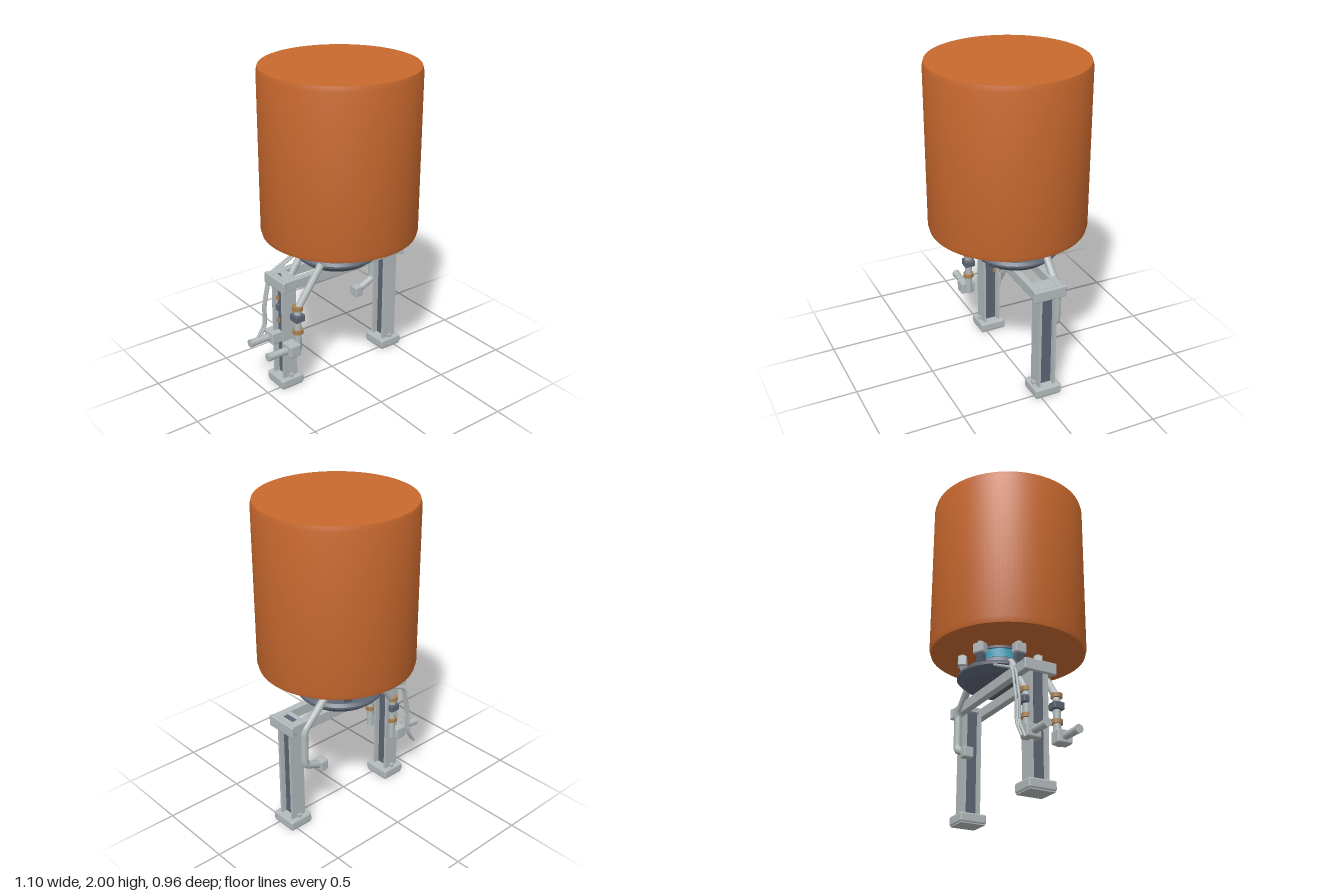
import * as THREE from 'three';
import { toCreasedNormals } from 'three/addons/utils/BufferGeometryUtils.js';
import { RoundedBoxGeometry } from 'three/addons/geometries/RoundedBoxGeometry.js';

function material(name, color) {
  const m = new THREE.MeshStandardMaterial({ color });
  m.name = name;
  return m;
}

export function createModel() {
  const model = new THREE.Group();
  model.name = 'tankOnStand';

  const orange = material('orange tank', 0xc8682e);
  const steel = material('light steel', 0xb4bbbd);
  const slate = material('dark slate', 0x5d6473);
  const teal = material('teal neck', 0x35a0ba);
  const bronze = material('bronze', 0xa98150);

  const add = (name, geometry, mat, x = 0, y = 0, z = 0, parent = model) => {
    const mesh = new THREE.Mesh(geometry, mat);
    mesh.name = name;
    mesh.position.set(x, y, z);
    parent.add(mesh);
    return mesh;
  };
  const box = (w, h, d) => new THREE.BoxGeometry(w, h, d);
  const bevelBox = (w, h, d, r) => new RoundedBoxGeometry(w, h, d, 1, r);
  const lathe = (points, sides) => toCreasedNormals(
    new THREE.LatheGeometry(points.map(([r, y]) => new THREE.Vector2(r, y)), sides), 0.35);

  // Pipe that follows straight runs with slightly rounded bends
  const pipe = (name, points, radius, mat, parent = model) => {
    const p = points.map(a => new THREE.Vector3(...a));
    const path = new THREE.CurvePath();
    let start = p[0];
    for (let i = 1; i < p.length - 1; i++) {
      const before = p[i].clone().add(p[i - 1].clone().sub(p[i]).setLength(0.03));
      const after = p[i].clone().add(p[i + 1].clone().sub(p[i]).setLength(0.03));
      path.add(new THREE.LineCurve3(start, before));
      path.add(new THREE.QuadraticBezierCurve3(before, p[i], after));
      start = after;
    }
    path.add(new THREE.LineCurve3(start, p[p.length - 1]));
    add(name, new THREE.TubeGeometry(path, 48, radius, 12), mat, 0, 0, 0, parent);
    // Closed ends
    for (const [a, b] of [[p[0], p[1]], [p[p.length - 1], p[p.length - 2]]]) {
      const cap = add(name + 'Cap', new THREE.CircleGeometry(radius, 12), mat, a.x, a.y, a.z, parent);
      cap.lookAt(a.clone().multiplyScalar(2).sub(b));
    }
  };

  // Tank
  add('tank', lathe([[0, 0.97], [0.472, 0.97], [0.48, 1.0], [0.48, 1.97], [0.472, 2], [0, 2]], 96),
    orange, 0.055);

  // Neck and mounting flange under the tank
  const hubX = 0.07, hubZ = -0.045;
  add('neck', lathe([[0, 0.86], [0.125, 0.86], [0.125, 0.89], [0.145, 0.9], [0.145, 0.955], [0, 0.955]], 40),
    teal, hubX, 0, hubZ);
  add('neckCollar', new THREE.CylinderGeometry(0.155, 0.155, 0.018, 40), slate, hubX, 0.963, hubZ);
  add('flange', lathe([[0, 0.762], [0.215, 0.762], [0.235, 0.78], [0.25, 0.79], [0.262, 0.803],
    [0.262, 0.815], [0.245, 0.832], [0.205, 0.837], [0.2, 0.87], [0.185, 0.88], [0, 0.88]], 48),
    slate, hubX, 0, hubZ);

  // Six load brackets around the flange
  for (let i = 0; i < 6; i++) {
    const bracket = new THREE.Group();
    bracket.name = 'loadBracket';
    const a = i * Math.PI / 3;
    bracket.position.set(hubX + 0.23 * Math.cos(a), 0, hubZ + 0.23 * Math.sin(a));
    bracket.rotation.y = -a;
    add('bracketBlock', bevelBox(0.055, 0.065, 0.075, 0.008), steel, 0, 0.925, 0, bracket);
    add('bracketStud', new THREE.CylinderGeometry(0.018, 0.018, 0.02, 8), steel, 0, 0.963, 0, bracket);
    const foot = add('bracketFoot', box(0.045, 0.065, 0.045), slate, -0.012, 0.867, 0, bracket);
    foot.rotation.z = -0.3;
    model.add(bracket);
  }

  // I-beam legs on chamfered feet
  for (const x of [-0.333, 0.466]) {
    const leg = new THREE.Group();
    leg.name = 'leg';
    leg.position.set(x, 0, -0.045);
    add('foot', bevelBox(0.16, 0.06, 0.175, 0.012), steel, 0, 0.035, 0, leg);
    add('footPad', box(0.145, 0.012, 0.16), steel, 0, 0.006, 0, leg);
    add('legWeb', box(0.035, 0.69, 0.085), slate, 0, 0.405, 0, leg);
    for (const s of [-1, 1]) {
      add('legFlange', box(0.1, 0.69, 0.016), steel, 0, 0.405, s * 0.049, leg);
      add('footClip', box(0.025, 0.025, 0.02), steel, 0, 0.072, s * 0.064, leg);
    }
    model.add(leg);
  }

  // Twin cross rails with end caps
  for (const z of [0.03, -0.12])
    add('crossRail', bevelBox(0.91, 0.066, 0.045, 0.006), steel, 0.067, 0.722, z);
  for (const x of [-0.393, 0.527])
    add('railEndCap', bevelBox(0.026, 0.072, 0.21, 0.008), steel, x, 0.72, -0.045);
  for (const x of [-0.333, 0.466])
    add('legTopPlate', box(0.1, 0.03, 0.11), steel, x, 0.735, -0.045);

  // Front and back feed lines with fittings and outlet valves
  for (const z of [0.098, -0.1]) {
    const line = new THREE.Group();
    line.name = 'feedLine';
    line.position.z = z;
    pipe('feedPipe', [[-0.155, 0.83, 0], [-0.333, 0.58, 0], [-0.333, 0.3, 0]], 0.023, steel, line);
    for (const y of [0.59, 0.432])
      add('bronzeRing', new THREE.CylinderGeometry(0.034, 0.034, 0.026, 16), bronze, -0.333, y, 0, line);
    add('lineCoupling', bevelBox(0.07, 0.046, 0.07, 0.008), slate, -0.333, 0.526, 0, line);
    add('valveBlock', bevelBox(0.08, 0.08, 0.095, 0.01), steel, -0.38, 0.325, 0, line);
    const spout = add('spout', new THREE.CylinderGeometry(0.023, 0.023, 0.135, 8), steel, -0.4775, 0.325, 0, line);
    spout.rotation.z = Math.PI / 2;
    const lip = add('spoutLip', new THREE.CylinderGeometry(0.027, 0.023, 0.035, 8), steel, -0.5385, 0.325, 0, line);
    lip.rotation.z = Math.PI / 2;
    model.add(line);
  }

  // Overflow pipe behind the left leg
  pipe('overflowPipe', [[0.28, 0.85, -0.14], [0.44, 0.69, -0.14], [0.44, 0.455, -0.14], [0.32, 0.405, -0.14]],
    0.024, steel);
  add('overflowOutlet', bevelBox(0.056, 0.068, 0.066, 0.008), steel, 0.308, 0.402, -0.14);

  // Pair of thin sensing tubes at the back
  for (const z of [-0.175, -0.197])
    pipe('sensingTube', [[-0.13, 0.8, z], [-0.345, 0.7, z], [-0.388, 0.5, z], [-0.388, 0.36, z], [-0.45, 0.262, z]],
      0.008, steel);

  return model;
}
